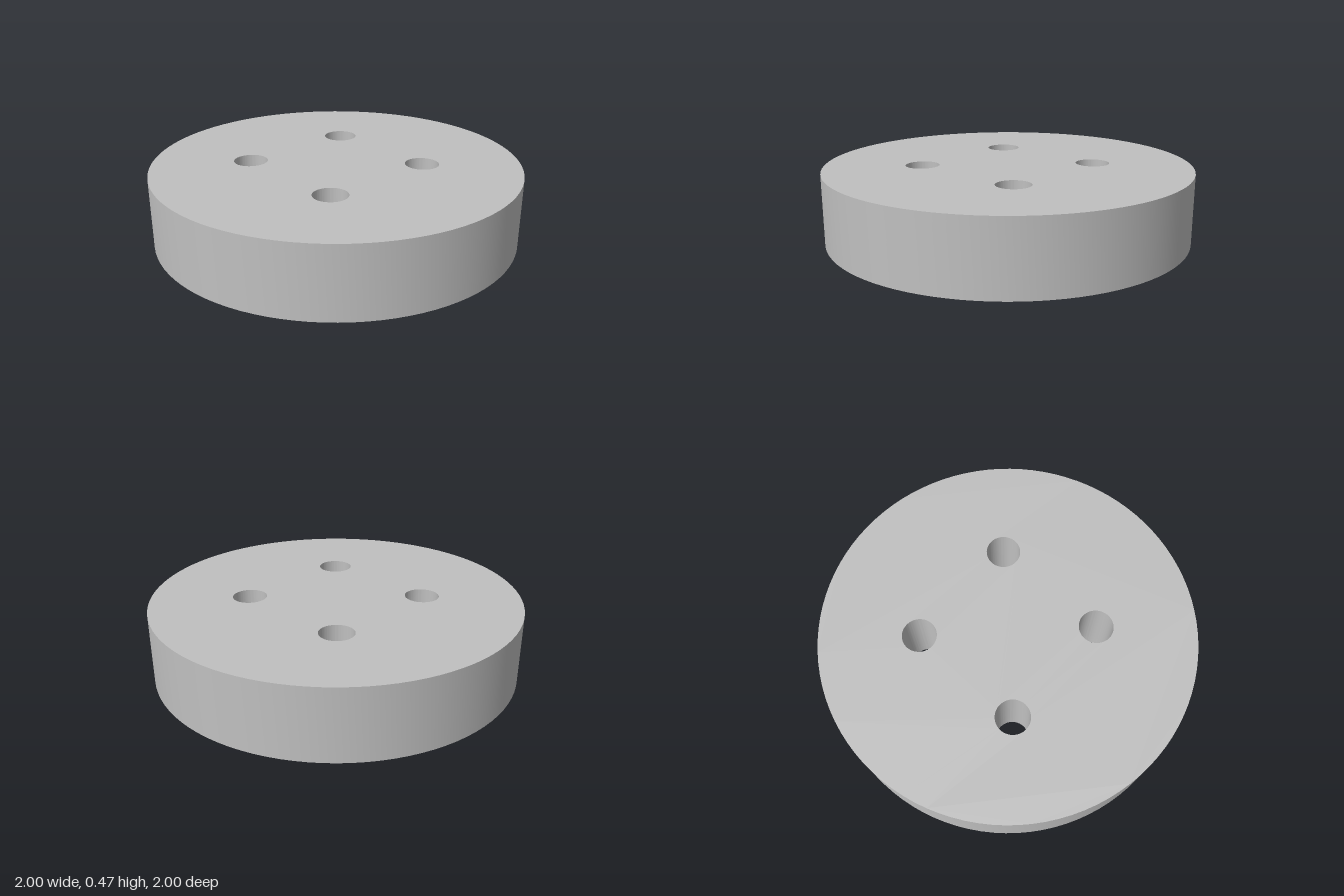
import * as THREE from 'three';
import { toCreasedNormals } from 'three/addons/utils/BufferGeometryUtils.js';

const HOLE_OFFSET = 0.33;
const HOLE_RADIUS = 0.092;

// Round plate with four through holes, standing between two heights
function drilledDisc(name, radius, bottom, top, material) {
  const shape = new THREE.Shape();
  shape.absarc(0, 0, radius, 0, Math.PI * 2, false);
  for (const x of [-HOLE_OFFSET, HOLE_OFFSET]) {
    for (const z of [-HOLE_OFFSET, HOLE_OFFSET]) {
      const hole = new THREE.Path();
      hole.absarc(x, z, HOLE_RADIUS, 0, Math.PI * 2, true);
      shape.holes.push(hole);
    }
  }
  const extruded = new THREE.ExtrudeGeometry(shape, {
    depth: top - bottom, bevelEnabled: false, curveSegments: 48,
  });
  extruded.rotateX(-Math.PI / 2);
  extruded.translate(0, bottom, 0);
  const mesh = new THREE.Mesh(toCreasedNormals(extruded, Math.PI / 6), material);
  mesh.name = name;
  return mesh;
}

export function createModel() {
  const group = new THREE.Group();
  group.name = 'drilledFlange';
  const steel = new THREE.MeshStandardMaterial({ color: 0xc0c0c0 });
  steel.name = 'light grey steel';

  // Wide disc on top, locating boss below
  group.add(drilledDisc('mainDisc', 1, 0.085, 0.47, steel));
  group.add(drilledDisc('locatingBoss', 0.655, 0, 0.085, steel));
  return group;
}
